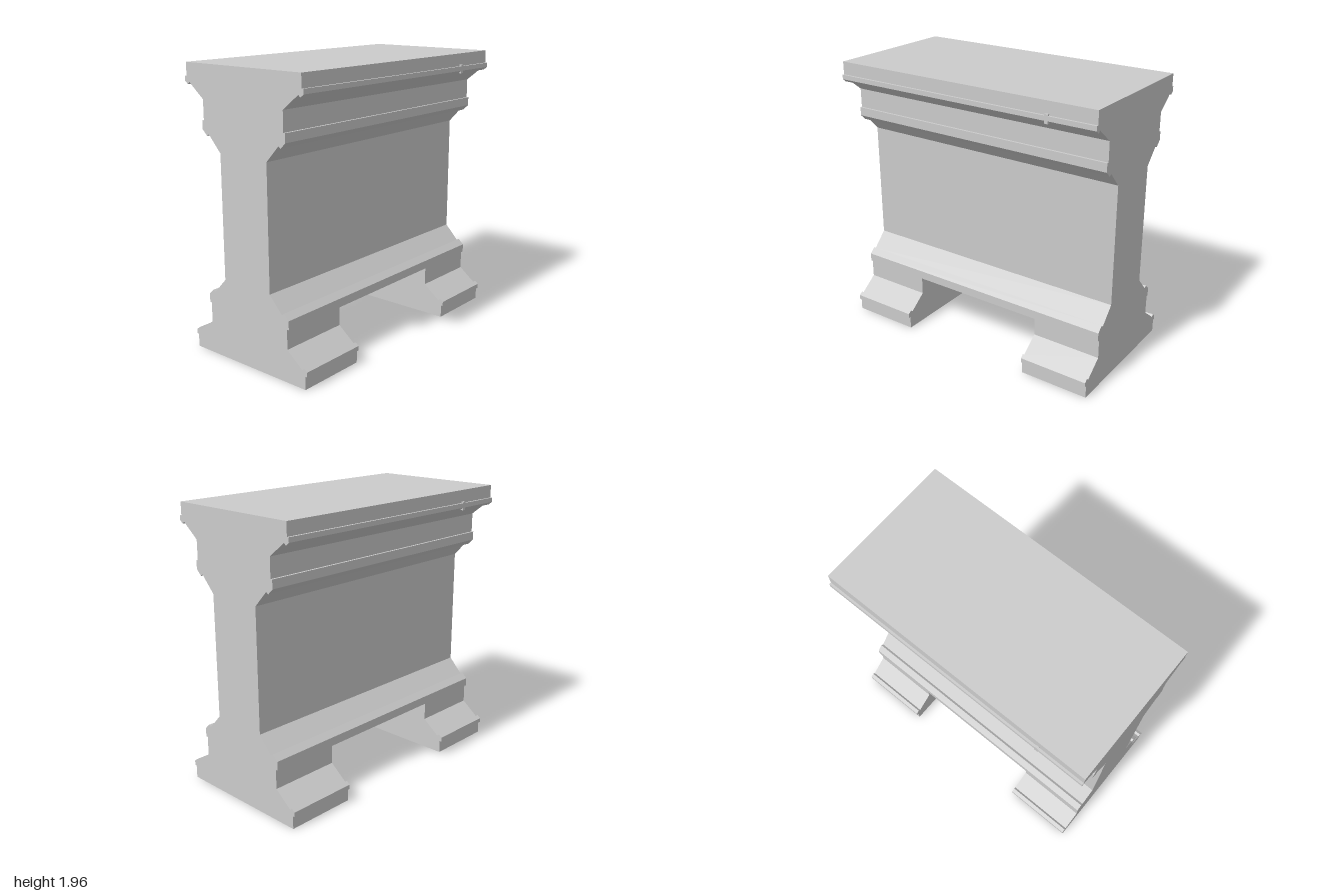
import * as THREE from 'three';

const HEIGHT = 1.955;
const STEP = 0.36; // underside of the body, top of the feet
const LENGTH = 2;
const FOOT_LENGTH = 0.5;

// Half outlines [x, y], listed upwards on the +x side
const footEdge = [
  [0.5, 0], [0.5, 0.09], [0.515, 0.09], [0.515, 0.122], [0.49, 0.142],
  [0.475, 0.127], [0.35, 0.225], [0.35, STEP],
];
const mouldingEdge = [
  [0.365, STEP], [0.365, 0.42], [0.325, 0.458], [0.308, 0.445], [0.205, 0.555],
];

// Mirrors a half outline across x = 0 and extrudes it along z
function extrudeSection(name, half, length, z, material) {
  const outline = [...half, ...half.map(([x, y]) => [-x, y]).reverse()];
  const shape = new THREE.Shape(outline.map(([x, y]) => new THREE.Vector2(x, y)));
  const geometry = new THREE.ExtrudeGeometry(shape, { depth: length, bevelEnabled: false });
  geometry.translate(0, 0, -length / 2);
  const mesh = new THREE.Mesh(geometry, material);
  mesh.name = name;
  mesh.position.z = z;
  return mesh;
}

export function createModel() {
  const group = new THREE.Group();
  group.name = 'pedestal';
  const material = new THREE.MeshStandardMaterial({ color: 0xcccccc, flatShading: true });

  // Body: lower moulding, plain web, then the same mouldings upside down
  const upperEdge = [...footEdge, ...mouldingEdge].reverse().map(([x, y]) => [x, HEIGHT - y]);
  group.add(extrudeSection('body', [...mouldingEdge, ...upperEdge], LENGTH, 0, material));

  // Feet at both ends, leaving an opening between them
  for (const [name, side] of [['frontFoot', 1], ['backFoot', -1]]) {
    const z = side * (LENGTH - FOOT_LENGTH) / 2;
    group.add(extrudeSection(name, footEdge, FOOT_LENGTH, z, material));
  }

  // Small tabs on the upper lip, diagonally opposite
  for (const [name, side] of [['leftTab', 1], ['rightTab', -1]]) {
    const tab = new THREE.Mesh(new THREE.BoxGeometry(0.02, 0.06, 0.026), material);
    tab.name = name;
    tab.position.set(side * 0.505, 1.845, side * -0.66);
    group.add(tab);
  }
  return group;
}
